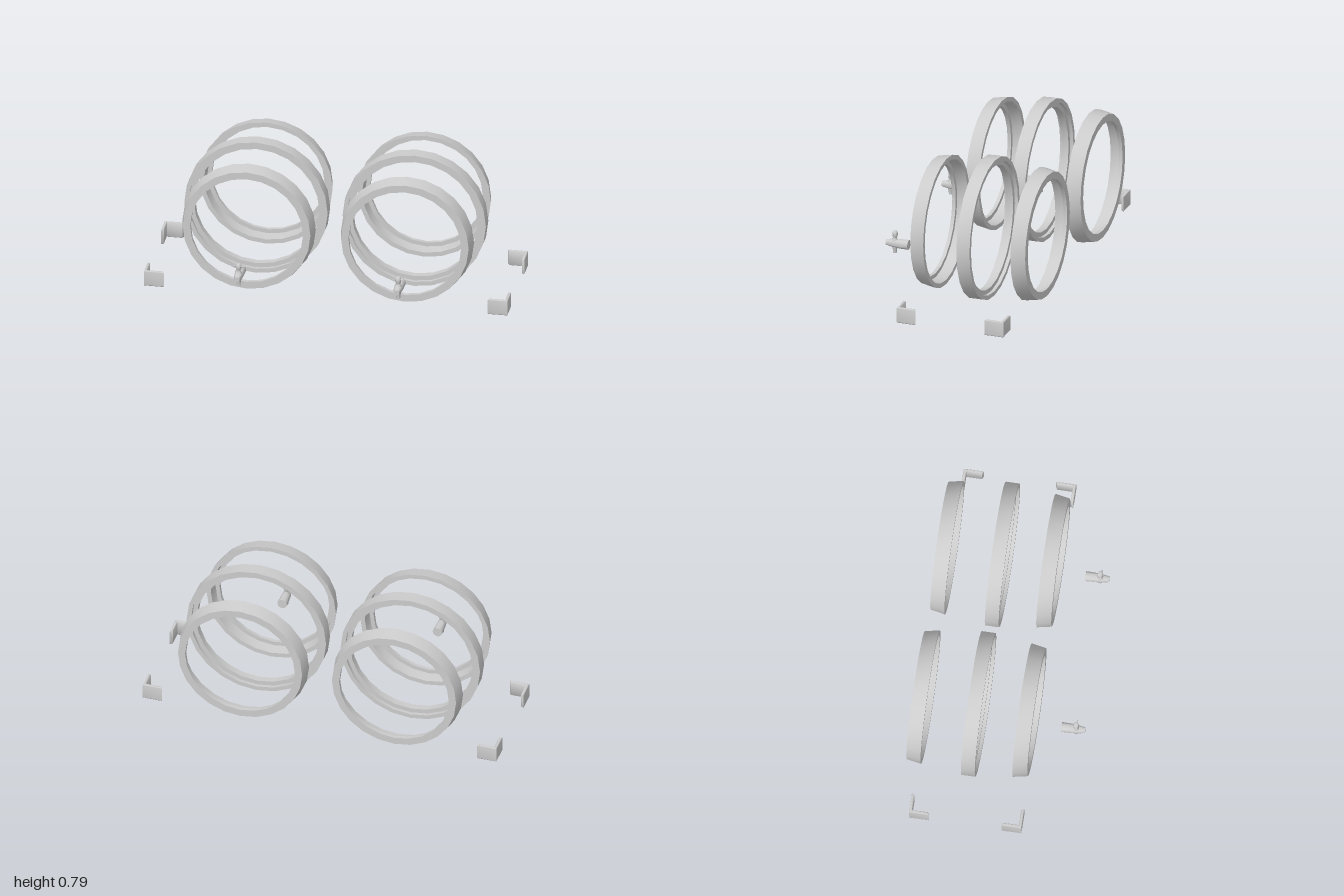
import * as THREE from 'three';
import { toCreasedNormals } from 'three/addons/utils/BufferGeometryUtils.js';

const material = new THREE.MeshStandardMaterial({ color: 0xcccccc });
const CX = 0.435, CY = 0.397;

function part(name, geometry, crease = 0.5) {
  const mesh = new THREE.Mesh(toCreasedNormals(geometry, crease), material);
  mesh.name = name;
  return mesh;
}

// Profile points are [radius, position along the axis]
function lathe(points, segments) {
  return new THREE.LatheGeometry(points.map(([r, h]) => new THREE.Vector2(r, h)), segments);
}

// Hoop around the z axis from a closed cross-section
function hoop(name, section) {
  return part(name, lathe([...section, section[0]], 24).rotateX(Math.PI / 2));
}

// Tap: nozzle along z, spindle along y, crossbar along x
function tap() {
  const group = new THREE.Group();
  group.name = 'tap';
  const nozzle = lathe([[0, -0.08], [0.027, -0.08], [0.026, -0.03], [0.023, 0.012],
    [0.015, 0.05], [0, 0.05]], 16).rotateX(Math.PI / 2);
  const spindle = lathe([[0, -0.055], [0.011, -0.055], [0.012, -0.035], [0.016, -0.022],
    [0.018, 0.02], [0.011, 0.029], [0.011, 0.036], [0.015, 0.044], [0.016, 0.056],
    [0.014, 0.068], [0.008, 0.074], [0, 0.075]], 14);
  const crossbar = new THREE.SphereGeometry(1, 12, 8).scale(0.031, 0.005, 0.006);
  crossbar.translate(0, 0.058, 0.004);
  group.add(part('nozzle', nozzle), part('spindle', spindle, 0.9), part('crossbar', crossbar, 1.2));
  return group;
}

// Upright L-shaped corner plate with softened edges; zOuter is its outer face
function bracket(sx, sz, zOuter) {
  const len = 0.11, t = 0.016;
  const outline = [[0, 0], [len, 0], [len - 0.008, t], [t, t], [t, len - 0.008], [0, len]];
  const shape = new THREE.Shape(outline.map(([u, v]) =>
    new THREE.Vector2(sx * (1 - u), -(zOuter - sz * v))));
  const geometry = new THREE.ExtrudeGeometry(shape, {
    depth: 0.078, bevelEnabled: true, bevelThickness: 0.006, bevelSize: 0.006,
    bevelOffset: -0.006, bevelSegments: 3,
  });
  geometry.rotateX(-Math.PI / 2).translate(0, 0.018, 0);
  return part('cornerBracket', geometry, 0.9);
}

export function createModel() {
  const model = new THREE.Group();
  model.name = 'tankFittings';

  // Tapered end hoop: a wall with an inward lip at its outer end
  const frontSection = [[0.341, 0.12], [0.366, 0.12], [0.351, 0.2], [0.31, 0.2], [0.31, 0.18], [0.333, 0.18]];
  const backSection = frontSection.map(([r, z]) => [r, -0.262 - z]).reverse();
  // Straight middle hoop with a central inner rib
  const middleSection = [[0.37, -0.157], [0.394, -0.157], [0.394, -0.081], [0.37, -0.081],
    [0.37, -0.1], [0.345, -0.1], [0.345, -0.138], [0.37, -0.138]];

  for (const side of [1, -1]) {
    // Three hoops in line
    const hoops = new THREE.Group();
    hoops.name = side > 0 ? 'leftHoops' : 'rightHoops';
    hoops.position.set(side * CX, CY, 0);
    hoops.add(
      hoop('frontHoop', frontSection),
      hoop('middleHoop', middleSection),
      hoop('backHoop', backSection),
    );
    model.add(hoops);

    const valve = tap();
    valve.position.set(side * 0.439, 0.23, 0.415);
    model.add(valve);

    // Corner plates, front and back
    model.add(bracket(side, 1, 0.2), bracket(side, -1, -0.415));
  }
  return model;
}
